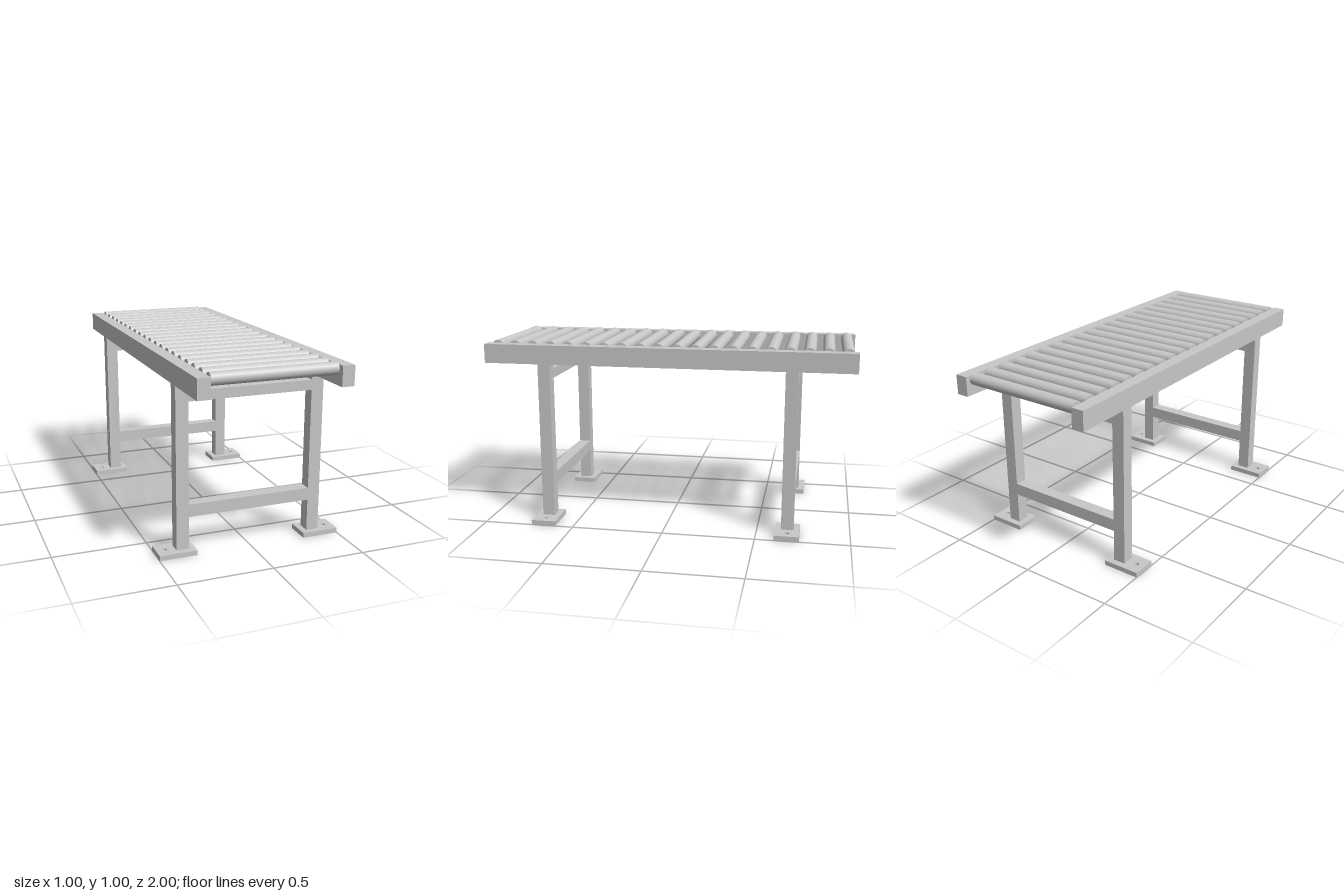
import * as THREE from 'three';

export function createModel() {
  const model = new THREE.Group();
  model.name = 'rollerConveyor';
  const steel = new THREE.MeshStandardMaterial({ color: 0xc8c8c8 });
  steel.name = 'lightGreySteel';

  const add = (name, geometry, x, y, z) => {
    const mesh = new THREE.Mesh(geometry, steel);
    mesh.name = name;
    mesh.position.set(x, y, z);
    model.add(mesh);
    return mesh;
  };

  // Rollers lying across the frame
  const rollerGeo = new THREE.CylinderGeometry(0.0325, 0.0325, 0.652, 32).rotateZ(Math.PI / 2);
  for (let i = 0; i < 20; i++) add('roller', rollerGeo, 0, 0.9675, -0.95 + i * 0.1);

  // Foot plate with a bolt hole towards its outer end
  const plate = new THREE.Shape();
  plate.moveTo(-0.1, -0.0667);
  plate.lineTo(0.1, -0.0667);
  plate.lineTo(0.1, 0.0667);
  plate.lineTo(-0.1, 0.0667);
  plate.closePath();
  const hole = new THREE.Path();
  hole.absarc(0.053, 0, 0.012, 0, Math.PI * 2, true);
  plate.holes.push(hole);
  const footGeo = new THREE.ExtrudeGeometry(plate, { depth: 0.0267, bevelEnabled: false, curveSegments: 24 });
  footGeo.rotateX(-Math.PI / 2);

  const railGeo = new THREE.BoxGeometry(0.0667, 0.104, 2);
  const legGeo = new THREE.BoxGeometry(0.0667, 0.8563, 0.0667);
  const lowerBarGeo = new THREE.BoxGeometry(0.6666, 0.0667, 0.0667);
  const upperBarGeo = new THREE.BoxGeometry(0.6666, 0.0533, 0.0667);

  // Side rails, legs and feet, mirrored left and right
  for (const side of [-1, 1]) {
    add('sideRail', railGeo, side * 0.3667, 0.935, 0);
    for (const end of [-1, 1]) {
      add('leg', legGeo, side * 0.3667, 0.4549, end * 0.6667);
      const foot = add('footPlate', footGeo, side * 0.4, 0, end * 0.6667);
      if (side < 0) foot.rotation.y = Math.PI;
    }
  }

  // Cross bars joining each pair of legs
  for (const end of [-1, 1]) {
    add('lowerCrossBar', lowerBarGeo, 0, 0.2333, end * 0.6667);
    add('upperCrossBar', upperBarGeo, 0, 0.8267, end * 0.6667);
  }
  return model;
}
